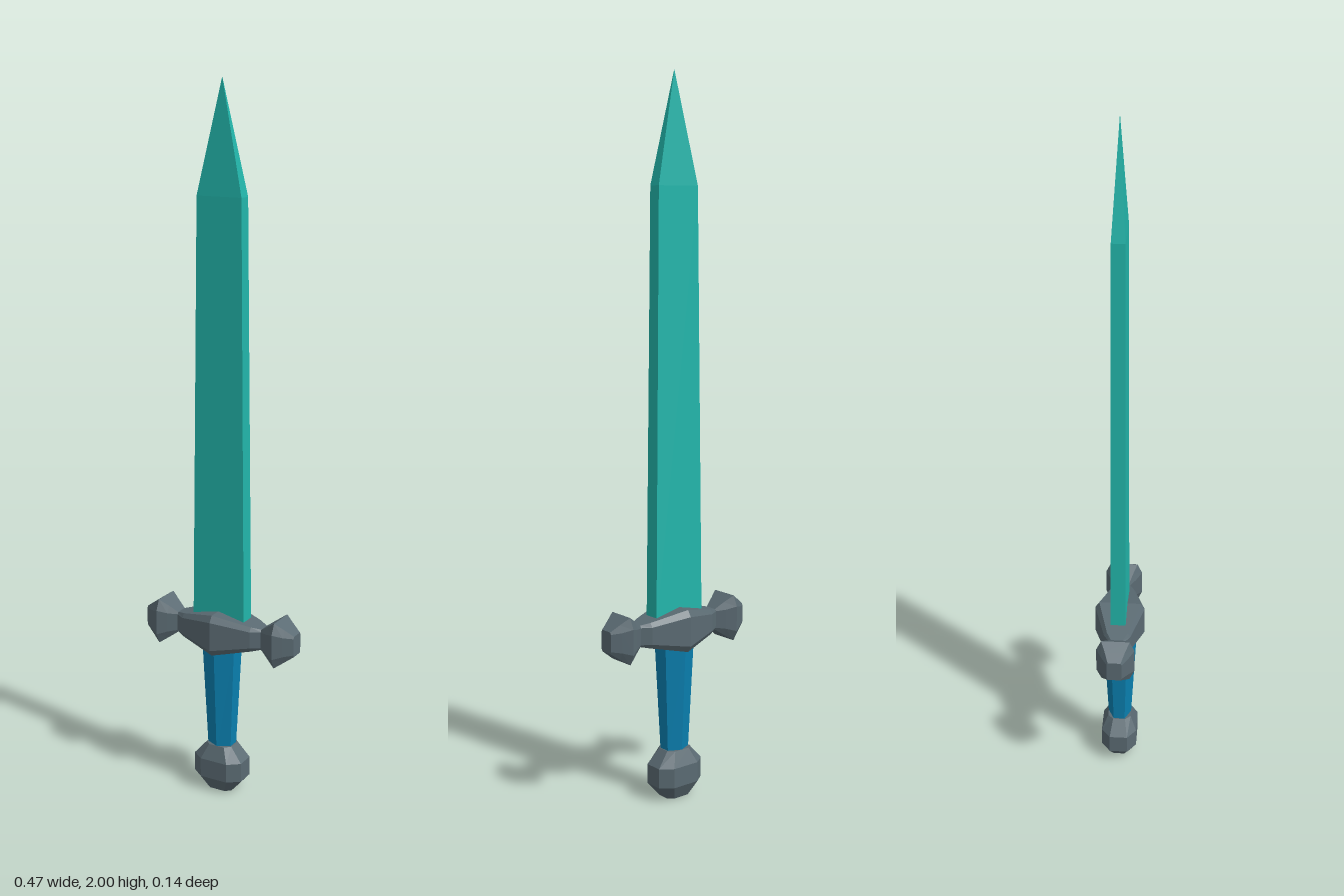
import * as THREE from 'three';

const flat = (name, color) => {
  const m = new THREE.MeshStandardMaterial({ color });
  m.name = name;
  return m;
};

// Cross-section outlines as [x, z] corners, counted from +x towards +z
const rectangle = (x, z) => [[x, -z], [x, z], [-x, z], [-x, -z]];
const hexagon = (x, z, side) => [[x, -side], [x, side], [0, z], [-x, side], [-x, -side], [0, -z]];
const octagon = (x, z, cx, cz) => [
  [x, -cz], [x, cz], [cx, z], [-cx, z], [-x, cz], [-x, -cz], [-cx, -z], [cx, -z],
];

// Faceted solid through sections { y, ring }, closed at both ends
function loft(sections) {
  const pos = [];
  const tri = (...pts) => pts.forEach((p) => pos.push(...p));
  const rings = sections.map(({ y, ring }) => ring.map(([x, z]) => [x, y, z]));
  const n = rings[0].length;
  const first = rings[0], last = rings[rings.length - 1];
  const bottom = [0, first[0][1], 0], top = [0, last[0][1], 0];
  for (let i = 0; i < n; i++) {
    const j = (i + 1) % n;
    for (let s = 0; s < rings.length - 1; s++) {
      const a = rings[s], b = rings[s + 1];
      tri(a[i], b[i], a[j]);
      tri(a[j], b[i], b[j]);
    }
    tri(bottom, first[i], first[j]);
    tri(top, last[j], last[i]);
  }
  const g = new THREE.BufferGeometry();
  g.setAttribute('position', new THREE.Float32BufferAttribute(pos, 3));
  g.computeVertexNormals();
  return g;
}

export function createModel() {
  const group = new THREE.Group();
  group.name = 'sword';
  const teal = flat('teal blade', 0x22b5aa);
  const blue = flat('blue grip', 0x0a80b0);
  const grey = flat('grey metal', 0x5a6a72);

  const add = (name, geometry, material) => {
    const mesh = new THREE.Mesh(geometry, material);
    mesh.name = name;
    group.add(mesh);
    return mesh;
  };

  // Blade: tapering slab
  add('blade', loft([
    { y: 0.5, ring: rectangle(0.081, 0.022) },
    { y: 1.7, ring: rectangle(0.067, 0.018) },
  ]), teal);

  // Blade point: four-sided pyramid on the slab
  add('bladePoint', loft([
    { y: 1.7, ring: rectangle(0.067, 0.018) },
    { y: 2.0, ring: rectangle(0.0004, 0.0002) },
  ]), teal);

  // Grip: six-sided, wider towards the guard
  add('grip', loft([
    { y: 0.12, ring: hexagon(0.036, 0.033, 0.016) },
    { y: 0.45, ring: hexagon(0.051, 0.05, 0.024) },
  ]), blue);

  // Pommel: faceted knob
  add('pommel', loft([
    { y: 0, ring: octagon(0.04, 0.03, 0.024, 0.016) },
    { y: 0.042, ring: octagon(0.076, 0.052, 0.042, 0.026) },
    { y: 0.098, ring: octagon(0.076, 0.052, 0.042, 0.026) },
    { y: 0.14, ring: octagon(0.04, 0.034, 0.024, 0.018) },
  ]), grey);

  // Crossguard: lofted along the sword's width
  const tip = octagon(0.03, 0.021, 0.024, 0.016);
  const shoulder = octagon(0.036, 0.038, 0.024, 0.03);
  const guard = add('crossguard', loft([
    { y: -0.135, ring: tip },
    { y: -0.108, ring: shoulder },
    { y: 0, ring: octagon(0.06, 0.072, 0.042, 0.06) },
    { y: 0.108, ring: shoulder },
    { y: 0.135, ring: tip },
  ]), grey);
  guard.rotation.z = -Math.PI / 2;
  guard.position.y = 0.49;

  // Knobs at both ends of the guard
  const end = octagon(0.03, 0.021, 0.024, 0.018);
  const slope = octagon(0.048, 0.038, 0.028, 0.028);
  const knob = loft([
    { y: -0.051, ring: end },
    { y: -0.026, ring: slope },
    { y: 0, ring: octagon(0.066, 0.054, 0.036, 0.04) },
    { y: 0.026, ring: slope },
    { y: 0.051, ring: end },
  ]);
  for (const [name, side] of [['leftKnob', 1], ['rightKnob', -1]]) {
    const mesh = add(name, knob, grey);
    mesh.rotation.z = -Math.PI / 2;
    mesh.position.set(side * 0.185, 0.49, 0);
  }
  return group;
}
